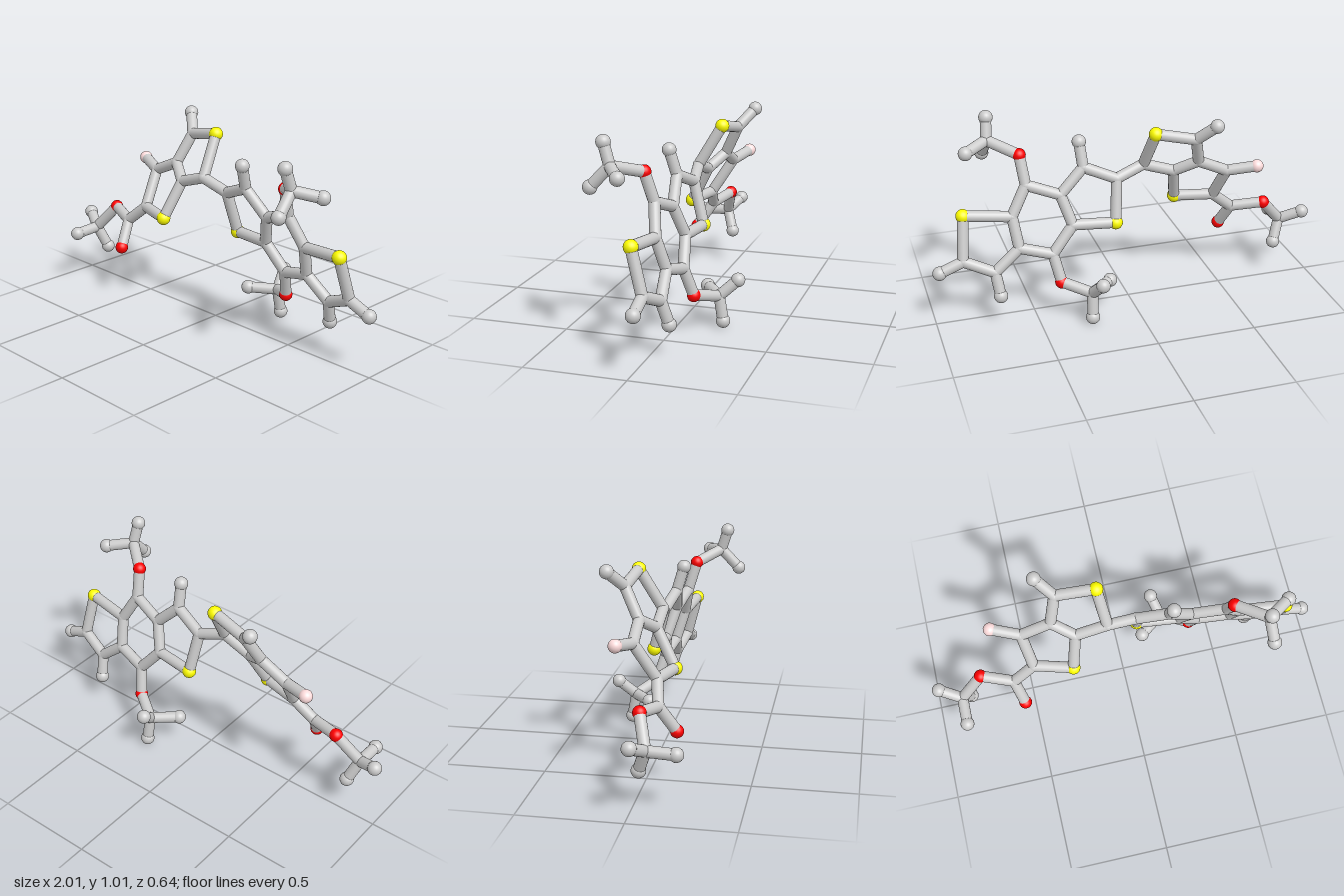
import * as THREE from 'three';

const STICK = 0.028;
const paint = (color) => new THREE.MeshStandardMaterial({ color });
const GREY = paint(0xcccccc), YELLOW = paint(0xffff00), RED = paint(0xff0000), PINK = paint(0xffdddd);

// kinds of atom: name, radius, material
const KINDS = {
  joint: ['carbonJoint', 0.029, GREY],
  end: ['endBall', 0.035, GREY],
  sulphur: ['sulphurBall', 0.035, YELLOW],
  oxygen: ['oxygenBall', 0.033, RED],
  halogen: ['pinkBall', 0.033, PINK],
};

// the two flat ring systems each lie in their own tilted plane
const leftPlane = (x, y) => 0.4545 + 0.2574 * x - 0.5773 * y;
const rightPlane = (x, y) => -0.211 + 0.1131 * x + 0.2764 * y;

function addAtom(group, kind, p) {
  const [name, radius, material] = KINDS[kind];
  const ball = new THREE.Mesh(new THREE.SphereGeometry(radius, 24, 16), material);
  ball.name = name;
  ball.position.copy(p);
  group.add(ball);
}

function addBond(group, a, b) {
  const dir = b.clone().sub(a);
  const rod = new THREE.Mesh(new THREE.CylinderGeometry(STICK, STICK, dir.length(), 20, 1, true), GREY);
  rod.name = 'bond';
  rod.position.copy(a).add(b).multiplyScalar(0.5);
  rod.quaternion.setFromUnitVectors(new THREE.Vector3(0, 1, 0), dir.normalize());
  group.add(rod);
}

// atoms: key -> [kind, x, y, z?]; z falls back to the plane. bonds: chains of keys
function buildPart(name, plane, atoms, chains) {
  const group = new THREE.Group();
  group.name = name;
  const at = {};
  for (const [key, [kind, x, y, z = plane(x, y)]] of Object.entries(atoms)) {
    at[key] = new THREE.Vector3(x, y, z);
    addAtom(group, kind, at[key]);
  }
  for (const chain of chains) {
    const keys = chain.split(' ');
    for (let i = 1; i < keys.length; i++) addBond(group, at[keys[i - 1]], at[keys[i]]);
  }
  return { group, at };
}

export function createModel() {
  const model = new THREE.Group();
  model.name = 'molecule';

  // two fused five-sided rings with an ester tail
  const left = buildPart('leftRings', leftPlane, {
    link: ['joint', -0.08, 0.73, 0.005],
    s1: ['sulphur', -0.107, 0.93],
    top: ['joint', -0.305, 0.89],
    topEnd: ['end', -0.385, 0.975],
    fuseA: ['joint', -0.348, 0.74],
    fuseB: ['joint', -0.24, 0.676],
    s2: ['sulphur', -0.278, 0.49],
    side: ['joint', -0.5, 0.67],
    pink: ['halogen', -0.642, 0.697],
    low: ['joint', -0.47, 0.495],
    acid: ['joint', -0.583, 0.4],
    o1: ['oxygen', -0.55, 0.273],
    o2: ['oxygen', -0.743, 0.425],
    tail: ['joint', -0.86, 0.29],
    tailA: ['end', -0.968, 0.34, 0.016],
    tailB: ['end', -0.818, 0.178, 0.027],
    tailC: ['end', -0.861, 0.283, 0.205],
  }, [
    'link s1 top fuseA fuseB link', 'fuseA side low s2 fuseB', 'top topEnd', 'side pink',
    'low acid o1', 'acid o2 tail tailA', 'tailB tail tailC',
  ]);

  // six-sided ring between two five-sided rings, with two side arms
  const right = buildPart('rightRings', rightPlane, {
    link: ['joint', 0.064, 0.68],
    s3: ['sulphur', 0.086, 0.468],
    upper: ['joint', 0.225, 0.746],
    upperEnd: ['end', 0.235, 0.869],
    hexA: ['joint', 0.348, 0.623],
    hexB: ['joint', 0.513, 0.682],
    hexC: ['joint', 0.593, 0.537],
    hexD: ['joint', 0.572, 0.382],
    hexE: ['joint', 0.41, 0.34],
    hexF: ['joint', 0.3, 0.473],
    s4: ['sulphur', 0.829, 0.558],
    outer: ['joint', 0.85, 0.34],
    outerEnd: ['end', 0.968, 0.293],
    lower: ['joint', 0.7, 0.275],
    lowerEnd: ['end', 0.684, 0.158],
    // upper arm
    o3: ['oxygen', 0.53, 0.827],
    armA: ['joint', 0.668, 0.875, 0.192],
    armA1: ['end', 0.658, 0.982, 0.225],
    armA2: ['end', 0.678, 0.774, 0.286],
    armA3: ['end', 0.786, 0.85, 0.112],
    // lower arm
    o4: ['oxygen', 0.38, 0.2],
    armB: ['joint', 0.246, 0.162, -0.2],
    armB1: ['end', 0.128, 0.168, -0.108],
    armB2: ['end', 0.214, 0.241, -0.286],
    armB3: ['end', 0.251, 0.037, -0.222],
  }, [
    'hexA hexB hexC hexD hexE hexF hexA', 'hexA upper link s3 hexF', 'hexC s4 outer lower hexD',
    'upper upperEnd', 'outer outerEnd', 'lower lowerEnd',
    'hexB o3 armA armA1', 'armA2 armA armA3', 'hexE o4 armB armB1', 'armB2 armB armB3',
  ]);

  model.add(left.group, right.group);
  addBond(model, left.at.link, right.at.link);
  return model;
}
